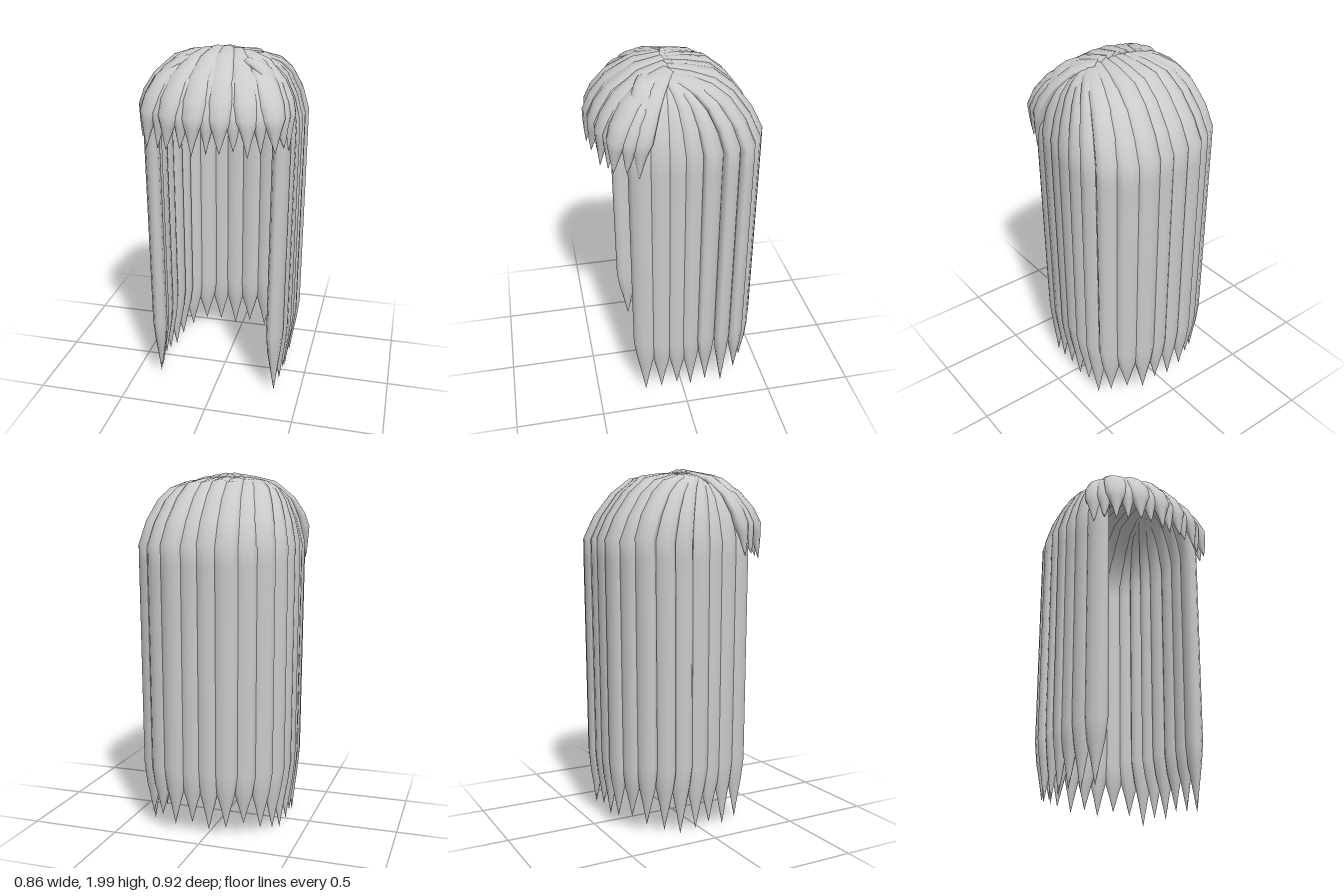
import * as THREE from 'three';

const SIDES = 10;

// One lock: an elliptical section swept over the crown and down to a point.
// rows: [fraction of the way from root to target, height, half width, half depth], on the outer face.
function lockGeometry(root, target, rows) {
  const dir = new THREE.Vector3(target.x - root.x, 0, target.z - root.z);
  const reach = dir.length();
  dir.normalize();
  const path = rows.map(([s, y]) => new THREE.Vector2(s * reach, y));
  const side = new THREE.Vector3(0, 1, 0).cross(dir);
  const positions = [], index = [];
  const point = (out, y, across) => positions.push(
    root.x + dir.x * out + side.x * across, y, root.z + dir.z * out + side.z * across);

  rows.forEach(([, , w, d], i) => {
    const t = path[Math.min(i + 1, path.length - 1)].clone().sub(path[Math.max(i - 1, 0)]).normalize();
    const n = new THREE.Vector2(-t.y, t.x);
    for (let j = 0; j < SIDES; j++) {
      const a = j / SIDES * Math.PI * 2;
      const lift = (Math.cos(a) - 1) * d;
      point(path[i].x + n.x * lift, path[i].y + n.y * lift, Math.sin(a) * w);
    }
  });
  for (let i = 0; i < rows.length - 1; i++) {
    for (let j = 0; j < SIDES; j++) {
      const a = i * SIDES + j, b = i * SIDES + (j + 1) % SIDES;
      index.push(a, a + SIDES, b, b, a + SIDES, b + SIDES);
    }
  }
  // root cap
  const cap = positions.length / 3;
  point(path[0].x, path[0].y - rows[0][3], 0);
  for (let j = 0; j < SIDES; j++) index.push(cap, j, (j + 1) % SIDES);

  const g = new THREE.BufferGeometry();
  g.setAttribute('position', new THREE.Float32BufferAttribute(positions, 3));
  g.setIndex(index);
  g.computeVertexNormals();
  return g;
}

// Evenly spaced points along an outline
const outline = (points, count) => new THREE.CatmullRomCurve3(
  points.map(([x, z]) => new THREE.Vector3(x, 0, z))).getSpacedPoints(count - 1);

export function createModel() {
  const model = new THREE.Group();
  model.name = 'hair';
  const material = new THREE.MeshStandardMaterial({ color: 0xcccccc, side: THREE.DoubleSide });

  const addLocks = (name, points, rootOf, rowsOf) => {
    const group = new THREE.Group();
    group.name = name;
    points.forEach((p, i) => {
      const root = rootOf(p);
      const mesh = new THREE.Mesh(lockGeometry(root, p, rowsOf(p, i, root.distanceTo(p))), material);
      mesh.name = name + 'Lock';
      group.add(mesh);
    });
    model.add(group);
  };

  // Long hair around the sides and back, slightly uneven from lock to lock
  const longOutline = outline([[0.395, 0.235], [0.41, 0.16], [0.423, 0.04], [0.412, -0.1], [0.4, -0.22],
    [0.38, -0.34], [0.31, -0.41], [0.19, -0.46], [0, -0.457], [-0.13, -0.455], [-0.24, -0.405],
    [-0.325, -0.345], [-0.37, -0.26], [-0.392, -0.17], [-0.412, -0.1], [-0.423, 0.02], [-0.41, 0.16],
    [-0.395, 0.235]], 20);
  addLocks('longHair', longOutline,
    // side locks hang straight outwards, back locks fan from the parting
    p => new THREE.Vector3(THREE.MathUtils.clamp(p.x * 0.45, -0.16, 0.16), 0,
      0.05 + Math.max(0, p.z - 0.05) * 0.6),
    (p, i, reach) => {
      const vary = (i * 7 % 5) / 5;
      const tip = 0.01 + 0.05 * vary + (p.z < -0.3 ? 0.05 : 0);
      const drop = 0.015 * vary;
      const slope = 0.04 * (p.x / 0.42) ** 2;
      const out = 1 - 0.015 * vary;
      const inset = 0.05 / reach;
      return [
        [0, 1.975 - slope * 0.4, 0.04, 0.02], [0.25, 1.97 - drop / 2 - slope * 0.6, 0.05, 0.025],
        [0.49, 1.952 - drop - slope, 0.058, 0.03], [0.69, 1.87 - drop - slope * 0.4, 0.064, 0.035],
        [0.88 * out, 1.745 - drop, 0.068, 0.04], [out, 1.62 - drop, 0.07, 0.042],
        [out, 1.5, 0.07, 0.042], [out - inset * 0.2, 0.39 - drop, 0.068, 0.042],
        [out - inset * 0.4, 0.27, 0.052, 0.034], [out - inset * 0.7, 0.14 + tip / 2, 0.026, 0.018],
        [out - inset, tip, 0, 0]];
    });

  // Fringe sweeping forward over the brow: broad outer locks with set-back ones between
  const fringeOutline = outline([[0.405, 0.245], [0.405, 0.29], [0.38, 0.35], [0.31, 0.395], [0.2, 0.428],
    [0, 0.462], [-0.13, 0.458], [-0.26, 0.42], [-0.35, 0.365], [-0.39, 0.3], [-0.405, 0.245]], 15);
  addLocks('fringe', fringeOutline,
    p => new THREE.Vector3(p.x * 0.36, 0, 0.05),
    (p, i) => {
      const back = i % 2;
      const tip = 1.5 + 0.03 * (i * 3 % 4) / 3;
      const fall = Math.abs(p.x) * 0.06 + back * 0.012;
      const out = 1 - back * 0.04;
      const w = 1 - back * 0.2;
      return [
        [0, 2 - fall, 0.04 * w, 0.02], [0.35, 1.975 - fall, 0.056 * w, 0.025],
        [0.7, 1.89 - fall, 0.066 * w, 0.03], [0.9 * out, 1.79 - fall / 2, 0.068 * w, 0.035],
        [out, 1.7, 0.062 * w, 0.04], [out, 1.645, 0.042 * w, 0.032],
        [out - 0.01, 1.58, 0.021 * w, 0.018], [out - 0.03, tip, 0, 0]];
    });

  return model;
}
